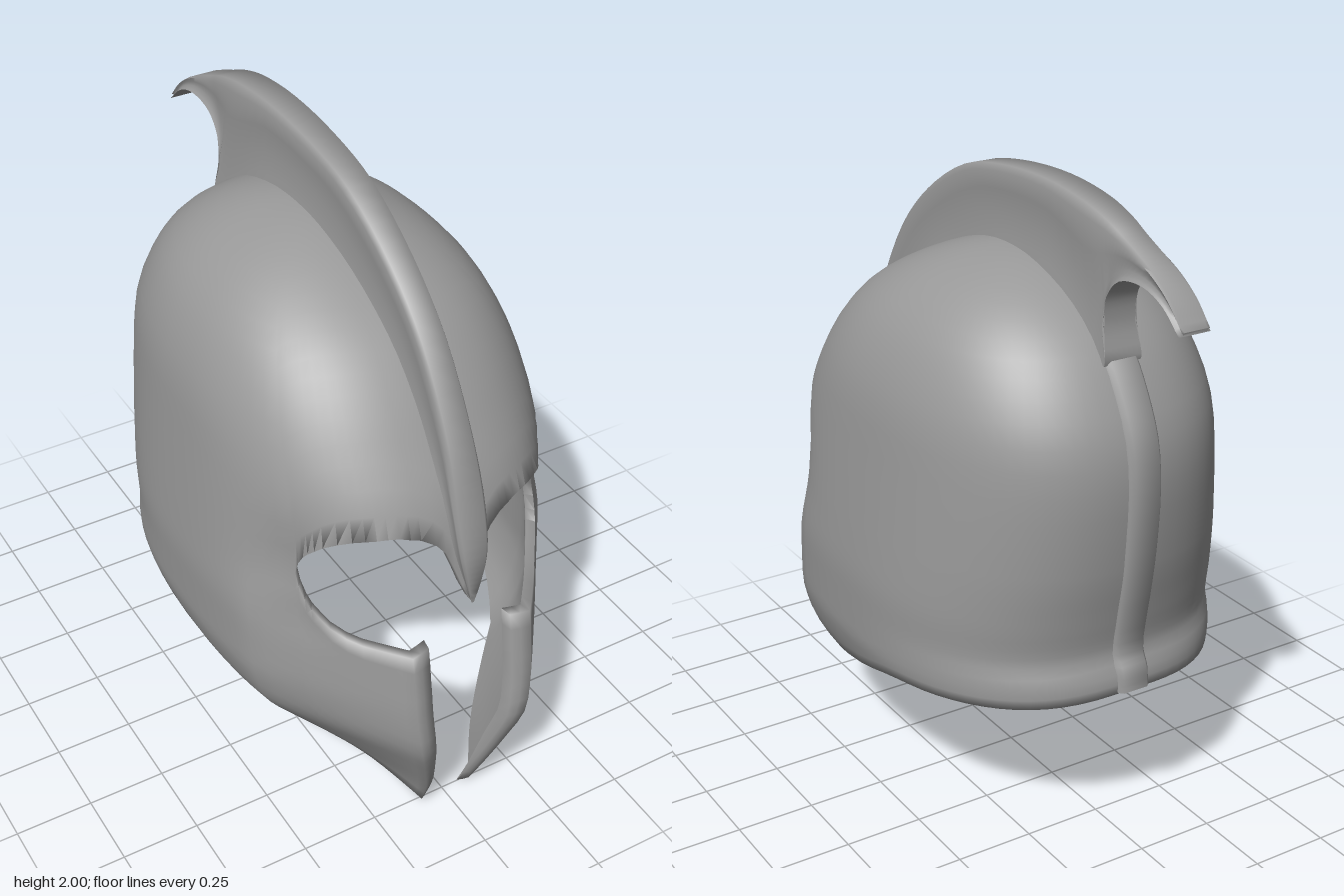
import * as THREE from 'three';
import { toCreasedNormals } from 'three/addons/utils/BufferGeometryUtils.js';

const TOP = 1.77, EYE_END = 0.88;
// Cheek guard angles: inner edge, front ridge, side corner
const CHEEK = 0.193, RIDGE = 0.3, CORNER = 1.15;

// Horizontal slices of the shell: y, half width, front z, back z, centre z
const SLICES = [
  [1.77, 0, -0.08, -0.08, -0.08],
  [1.74, 0.17, 0.12, -0.28, -0.08],
  [1.68, 0.3, 0.28, -0.42, -0.06],
  [1.58, 0.41, 0.456, -0.55, -0.03],
  [1.46, 0.475, 0.58, -0.635, 0],
  [1.34, 0.51, 0.67, -0.69, 0.02],
  [1.2, 0.527, 0.76, -0.71, 0.04],
  [1.0, 0.548, 0.82, -0.7, 0.05],
  [0.9, 0.558, 0.845, -0.688, 0.05],
  [0.77, 0.568, 0.895, -0.665, 0.05],
  [0.65, 0.566, 0.915, -0.65, 0.05],
  [0.59, 0.564, 0.925, -0.676, 0.05],
  [0.53, 0.56, 0.932, -0.68, 0.05],
  [0.4, 0.515, 0.94, -0.68, 0.05],
  [0.28, 0.42, 0.905, -0.68, 0.05],
  [0.13, 0.3, 0.85, -0.68, 0.05],
  [0, 0.24, 0.79, -0.68, 0.05],
].map(([y, ...v]) => [Math.sqrt(TOP - y), ...v]);

// Edge lines as [angle from the front, y]
const BROW = [[0, 0.89], [0.046, 1.0], [0.077, 1.06], [0.12, 1.095], [0.174, 1.12], [0.32, 1.14],
  [0.53, 1.13], [0.62, 1.115], [0.72, 1.085], [0.82, 1.03], [0.86, 0.99], [EYE_END, 0.95], [3.2, 0.95]];
const LOWER_LID = [[0, 0.77], [CHEEK, 0.77], [0.42, 0.768], [0.55, 0.767], [0.63, 0.775], [0.71, 0.795],
  [0.8, 0.845], [0.85, 0.89], [EYE_END, 0.95], [3.2, 0.95]];
const RIM = [[0, 0], [CHEEK, 0.003], [RIDGE, 0.02], [0.6, 0.1], [0.844, 0.19], [1.11, 0.28], [1.433, 0.39],
  [1.755, 0.483], [2.08, 0.505], [2.7, 0.52], [Math.PI, 0.535]];

// Table lookup, smooth (Hermite) or straight
function lookup(table, key, col, smooth) {
  let i = 0;
  while (i < table.length - 2 && key > table[i + 1][0]) i++;
  const p = table[i], n = table[i + 1], h = n[0] - p[0];
  const t = THREE.MathUtils.clamp((key - p[0]) / h, 0, 1);
  if (!smooth) return p[col] + (n[col] - p[col]) * t;
  const slope = (k) => {
    const a = table[Math.max(k - 1, 0)], b = table[Math.min(k + 1, table.length - 1)];
    return (b[col] - a[col]) / (b[0] - a[0]);
  };
  const t2 = t * t, t3 = t2 * t;
  return (2 * t3 - 3 * t2 + 1) * p[col] + (t3 - 2 * t2 + t) * h * slope(i)
    + (3 * t2 - 2 * t3) * n[col] + (t3 - t2) * h * slope(i + 1);
}

// Rounded-square cross-section: [side, forward] shares at an angle
const section = (angle) => [Math.sin(angle), Math.abs(Math.cos(angle))].map((v) => Math.pow(Math.max(0, v), 0.84));

// Point on the shell wall, outer or inner
function shellPoint(angle, y, inner, cheek) {
  const { smoothstep, lerp } = THREE.MathUtils;
  const q = Math.sqrt(Math.max(0, TOP - y));
  const [a, f, b, c] = [1, 2, 3, 4].map((k) => lookup(SLICES, q, k, true));
  let [s, k] = section(angle);
  // flat cheek between ridge and corner
  if (cheek && angle > RIDGE && angle < CORNER) {
    const t = (angle - RIDGE) / (CORNER - RIDGE), flat = 0.95 * (1 - smoothstep(y, 0.75, 0.93));
    const from = section(RIDGE), to = section(CORNER);
    s = lerp(s, lerp(from[0], to[0], t), flat);
    k = lerp(k, lerp(from[1], to[1], t), flat);
  }
  // dent at the outer corner of the eye, and wall thickness
  const dent = 1 - 0.07 * Math.exp(-(((angle - EYE_END) / 0.22) ** 2) - ((y - 0.95) / 0.15) ** 2);
  const scale = dent * (inner ? 1 - 0.045 * smoothstep(y, -0.05, 0.35) : 1);
  let z = c + scale * k * ((angle <= Math.PI / 2 ? f : b) - c);
  if (cheek && angle < RIDGE) z -= (RIDGE - angle) * 0.3;
  const drop = inner ? 0.03 * smoothstep(y, 1.2, TOP) : 0;
  return new THREE.Vector3(angle > 3.1415 ? 0 : scale * a * s, y - drop, z);
}

// Collects quads and turns them into a creased geometry
function quadBuilder() {
  const pos = [];
  const tri = (a, b, c) => {
    const n = b.clone().sub(a).cross(c.clone().sub(a));
    if (n.length() > 1e-9) for (const v of [a, b, c]) pos.push(v.x, v.y, v.z);
  };
  return {
    quad(a, b, c, d) { tri(a, b, c); tri(a, c, d); },
    mirrorX() {
      for (let i = 0, n = pos.length; i < n; i += 9)
        for (const k of [0, 6, 3]) pos.push(-pos[i + k], pos[i + k + 1], pos[i + k + 2]);
    },
    build(crease) {
      const g = new THREE.BufferGeometry();
      g.setAttribute('position', new THREE.Float32BufferAttribute(pos, 3));
      return toCreasedNormals(g, crease);
    },
  };
}

// Helmet bowl with eye openings and cheek guards, walled inside and out
function shellGeometry() {
  const angles = [0, 0.023, 0.046, 0.077, 0.12, CHEEK, 0.245, RIDGE, 0.36, 0.42, 0.48, 0.55, 0.63, 0.71, 0.76, 0.8, 0.83, 0.86, EYE_END];
  for (let i = 1; i <= 26; i++) angles.push(EYE_END + (Math.PI - EYE_END) * i / 26);
  const NU = 18, NL = 14;
  const column = (angle, inner) => {
    const brow = lookup(BROW, angle, 1, false), lid = lookup(LOWER_LID, angle, 1, false);
    const rim = lookup(RIM, angle, 1, true), upper = [], lower = [];
    for (let i = 0; i <= NU; i++) upper.push(shellPoint(angle, TOP - (TOP - brow) * (i / NU) ** 2, inner));
    for (let i = 0; i <= NL; i++) lower.push(shellPoint(angle, lid + (rim - lid) * i / NL, inner, true));
    return { upper, lower };
  };
  const out = angles.map((a) => column(a, false)), inn = angles.map((a) => column(a, true));
  const q = quadBuilder();
  const first = angles.indexOf(CHEEK);
  for (let j = 0; j < angles.length - 1; j++) {
    for (const part of ['upper', 'lower']) {
      if (part === 'lower' && j < first) continue;
      const o = out[j][part], o2 = out[j + 1][part], n = inn[j][part], n2 = inn[j + 1][part];
      const last = o.length - 1;
      for (let i = 0; i < last; i++) {
        q.quad(o[i], o[i + 1], o2[i + 1], o2[i]);
        q.quad(n[i], n2[i], n2[i + 1], n[i + 1]);
      }
      // edge walls along brow, lower lid and rim
      const atEye = angles[j] < EYE_END;
      if (part === 'lower' || atEye) q.quad(o[last], n[last], n2[last], o2[last]);
      if (part === 'lower' && atEye) q.quad(o[0], o2[0], n2[0], n[0]);
    }
  }
  const o = out[first].lower, n = inn[first].lower;
  for (let i = 0; i < NL; i++) q.quad(o[i], n[i], n[i + 1], o[i + 1]);
  q.mirrorX();
  return q.build(1.9);
}

// Fin swept between an inner and an outer line; stations are [outer z, y, inner z, y, half width]
function finGeometry(stations, profile, steps) {
  const curve = (k) => new THREE.CatmullRomCurve3(
    stations.map((s) => new THREE.Vector3(s[4], s[k + 1], s[k])));
  const outer = curve(0), inner = curve(2);
  const ring = [...profile, ...profile.map(([u, w]) => [u, -w]).reverse()];
  const rows = [];
  for (let i = 0; i <= steps; i++) {
    const O = outer.getPoint(i / steps), I = inner.getPoint(i / steps);
    rows.push(ring.map(([u, w]) => {
      const v = I.clone().lerp(O, u);
      v.x = O.x * w;
      return v;
    }));
  }
  const q = quadBuilder(), n = ring.length;
  for (let i = 0; i < steps; i++)
    for (let k = 0; k < n; k++) {
      const m = (k + 1) % n;
      q.quad(rows[i][k], rows[i + 1][k], rows[i + 1][m], rows[i][m]);
    }
  for (let k = 0; k < n / 2 - 1; k++) {
    const end = rows[steps], start = rows[0];
    q.quad(end[k], end[n - 1 - k], end[n - 2 - k], end[k + 1]);
    q.quad(start[k], start[k + 1], start[n - 2 - k], start[n - 1 - k]);
  }
  return q.build(1.3);
}

export function createModel() {
  const group = new THREE.Group();
  const material = new THREE.MeshStandardMaterial({ color: 0x999999, side: THREE.DoubleSide });
  const add = (name, geometry) => {
    const mesh = new THREE.Mesh(geometry, material);
    mesh.name = name;
    group.add(mesh);
  };

  add('helmetShell', shellGeometry());

  // Crest from the nose guard over the dome to the hooked tail
  add('crest', finGeometry([
    [0.855, 0.89, 0.835, 0.91, 0.004], [0.86, 0.97, 0.8, 1.0, 0.025], [0.855, 1.06, 0.77, 1.08, 0.042],
    [0.82, 1.2, 0.73, 1.2, 0.05], [0.75, 1.4, 0.61, 1.36, 0.046], [0.6, 1.65, 0.43, 1.56, 0.044],
    [0.43, 1.81, 0.25, 1.66, 0.044], [0.2, 1.94, 0.05, 1.73, 0.047], [0, 1.985, -0.1, 1.745, 0.05],
    [-0.25, 2.0, -0.3, 1.715, 0.053], [-0.45, 1.98, -0.585, 1.54, 0.053], [-0.56, 1.95, -0.565, 1.65, 0.049],
    [-0.63, 1.92, -0.575, 1.74, 0.045], [-0.7, 1.89, -0.63, 1.8, 0.044], [-0.78, 1.85, -0.74, 1.815, 0.044],
    [-0.85, 1.8, -0.83, 1.785, 0.044], [-0.91, 1.735, -0.905, 1.722, 0.044],
  ], [[0, 1.2], [0.15, 1.08], [0.4, 0.9], [0.7, 0.94], [0.92, 1.05], [1, 0.85]], 64));

  // Raised band running down the back
  const band = [1.64, 1.56, 1.46, 1.34, 1.2, 1.0, 0.85, 0.77, 0.65, 0.6, 0.537].map((y) => {
    const z = shellPoint(Math.PI, y).z;
    return [z - 0.015, y, z + 0.012, y, 0.052];
  });
  add('backRidge', finGeometry(band, [[0, 1.15], [0.6, 1], [1, 0.8]], 30));

  return group;
}
